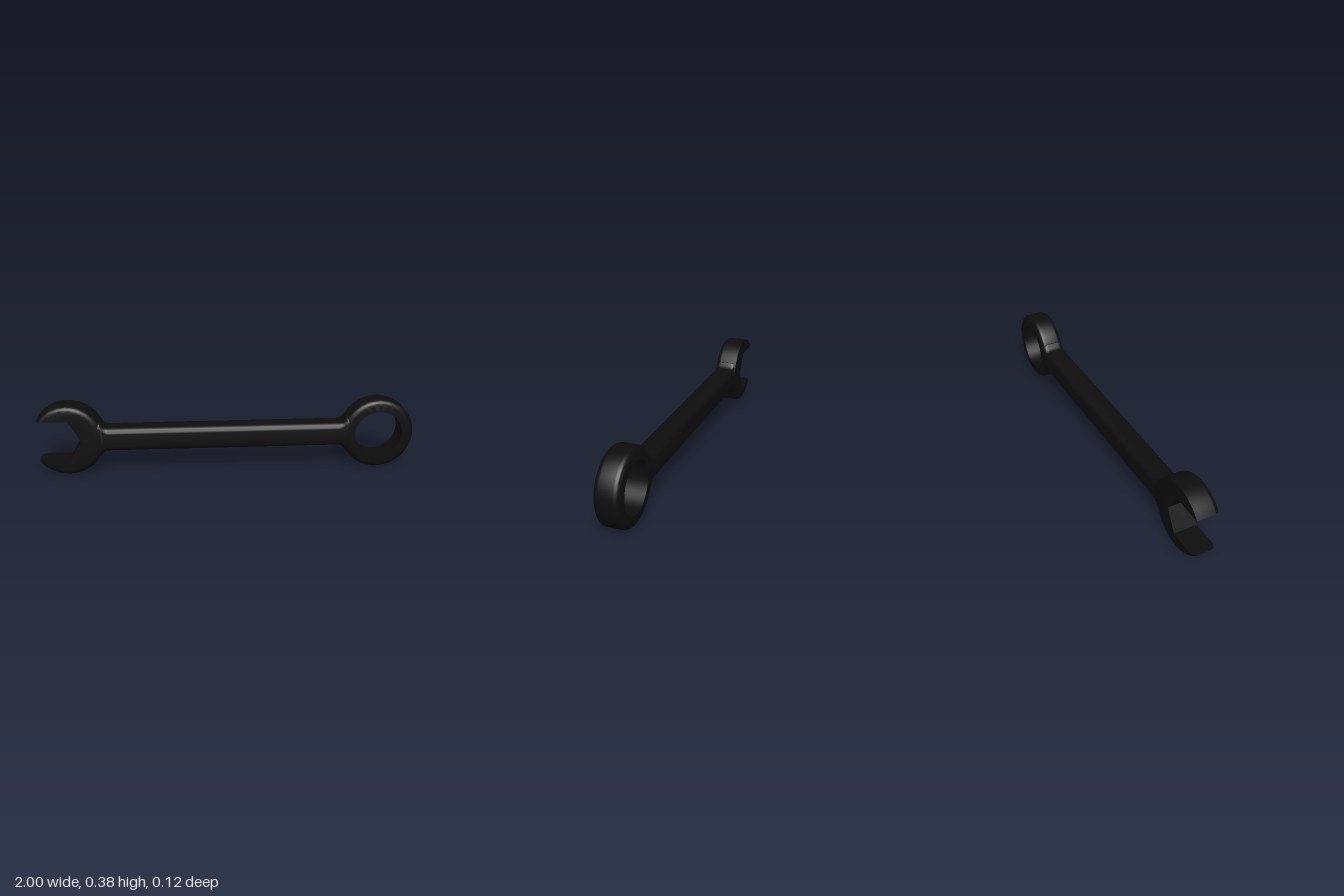
import * as THREE from 'three';
import { toCreasedNormals } from 'three/addons/utils/BufferGeometryUtils.js';

const R = 0.191;        // outer radius of both heads, also the height of the centre line
const HEAD = 0.0625;    // half thickness of the heads
const FILLET = 0.028;   // edge rounding
const JAW_X = -0.846, RING_X = 0.809;

// Rounded edge profile from back to front: [z, inset] pairs
function rim(half, f, steps = 6) {
  const back = [];
  for (let k = 0; k <= steps; k++) {
    const t = (k / steps) * Math.PI / 2;
    back.push([-half + f * (1 - Math.cos(t)), f * (1 - Math.sin(t))]);
  }
  return [...back, ...back.slice().reverse().map(([z, d]) => [-z, d])];
}

// Capped loft along z through counter-clockwise sections {z, pts}
function loft(sections) {
  const n = sections[0].pts.length, pos = [], idx = [];
  for (const s of sections) for (const p of s.pts) pos.push(p.x, p.y, s.z);
  for (let i = 0; i < sections.length - 1; i++) {
    for (let j = 0; j < n; j++) {
      const a = i * n + j, b = i * n + (j + 1) % n;
      idx.push(a, b, b + n, a, b + n, a + n);
    }
  }
  const last = (sections.length - 1) * n;
  for (const [a, b, c] of THREE.ShapeUtils.triangulateShape(sections[0].pts, [])) idx.push(c, b, a);
  for (const [a, b, c] of THREE.ShapeUtils.triangulateShape(sections.at(-1).pts, [])) idx.push(last + a, last + b, last + c);
  const g = new THREE.BufferGeometry();
  g.setAttribute('position', new THREE.Float32BufferAttribute(pos, 3));
  g.setIndex(idx);
  return g;
}

// Open jaw: round head cut by a half-hexagon slot
function jawGeometry() {
  const N = 64, slot = 0.112;
  return loft(rim(HEAD, FILLET).map(([z, inset]) => {
    const pts = [];
    for (let i = 0; i <= N; i++) {
      const u = 2 * i / N - 1;
      const r = u > 0 && z < 0 ? R : R - inset;   // upper back edge stays square
      const a = u * (Math.PI - Math.asin(slot / r));
      pts.push(new THREE.Vector2(r * Math.cos(a), r * Math.sin(a)));
    }
    pts.push(new THREE.Vector2(0.008, slot), new THREE.Vector2(0.073, 0), new THREE.Vector2(0.008, -slot));
    return { z, pts };
  }));
}

// Closed ring: rounded outside, square-edged hole
function ringGeometry() {
  const hole = 0.128;
  const profile = rim(HEAD, FILLET).map(([z, d]) => new THREE.Vector2(R - d, z));
  profile.unshift(new THREE.Vector2(hole, -HEAD));
  profile.push(new THREE.Vector2(hole, HEAD), new THREE.Vector2(hole, -HEAD));
  return new THREE.LatheGeometry(profile, 80).rotateX(Math.PI / 2);
}

// Rounded bar that flares where it meets each head
function handleGeometry() {
  const f = 0.03, thick = 0.06;
  const section = (h) => {
    const pts = [];
    for (let q = 0; q < 4; q++) {
      const sx = q === 0 || q === 3 ? 1 : -1, sy = q < 2 ? 1 : -1;
      for (let k = 0; k <= 6; k++) {
        const a = (q + k / 6) * Math.PI / 2;
        pts.push(new THREE.Vector2(sx * (h - f) + f * Math.cos(a), sy * (thick - f) + f * Math.sin(a)));
      }
    }
    return pts;
  };
  const reach = [0.15, 0.17, 0.178, 0.186, 0.194, 0.202, 0.21];
  const end = (x, dir) => reach.map((u) => {
    const t = Math.min(1, (0.21 - u) / 0.04);
    return { z: x + dir * u, pts: section(0.064 + 0.03 * t * t) };
  });
  const g = loft([...end(JAW_X, 1), ...end(RING_X, -1).reverse()]);
  // section x -> up, section y -> front, loft axis -> sideways
  return g.applyMatrix4(new THREE.Matrix4().makeBasis(
    new THREE.Vector3(0, 1, 0), new THREE.Vector3(0, 0, 1), new THREE.Vector3(1, 0, 0)));
}

export function createModel() {
  const group = new THREE.Group();
  group.name = 'wrench';
  const blackSteel = new THREE.MeshStandardMaterial({ color: 0x0d0d0d });
  blackSteel.name = 'black steel';
  const add = (name, geometry, x) => {
    const mesh = new THREE.Mesh(toCreasedNormals(geometry, 0.6), blackSteel);
    mesh.name = name;
    mesh.position.set(x, R, 0);
    group.add(mesh);
  };
  add('openJaw', jawGeometry(), JAW_X);
  add('ringHead', ringGeometry(), RING_X);
  add('handle', handleGeometry(), 0);
  return group;
}
